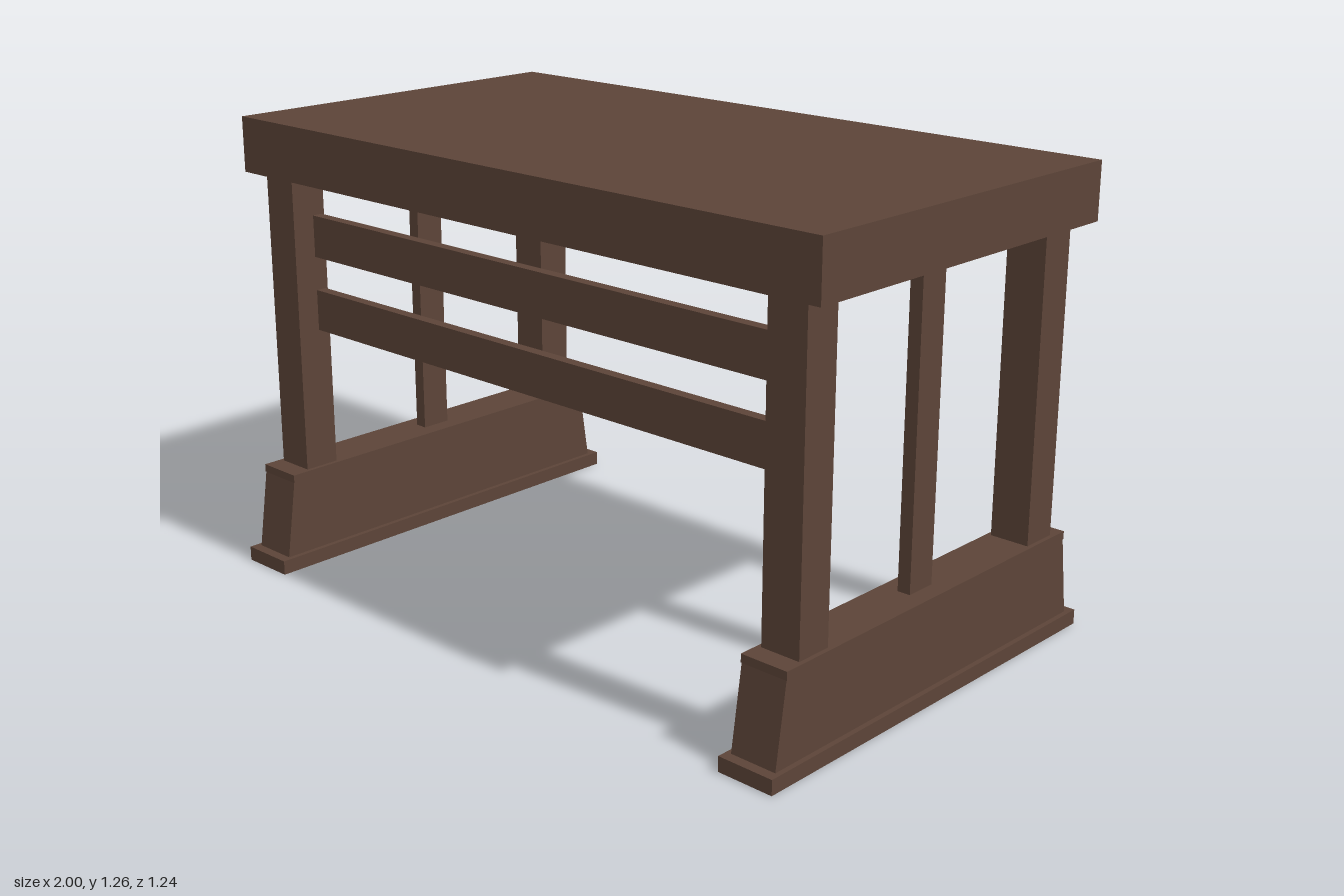
import * as THREE from 'three';

export function createModel() {
  const model = new THREE.Group();
  model.name = 'table';
  const wood = new THREE.MeshStandardMaterial({ color: 0x5c4438 });
  wood.name = 'darkWood';

  // box given by its low and high limits on each axis
  const box = (name, [x0, x1], [y0, y1], [z0, z1], parent) => {
    const mesh = new THREE.Mesh(new THREE.BoxGeometry(x1 - x0, y1 - y0, z1 - z0), wood);
    mesh.position.set((x0 + x1) / 2, (y0 + y1) / 2, (z0 + z1) / 2);
    mesh.name = name;
    parent.add(mesh);
  };

  // thick top
  box('tableTop', [-1, 1], [1.108, 1.26], [-0.54, 0.536], model);

  // foot body: trapezoid in z and y, extruded across x
  const profile = new THREE.Shape([
    new THREE.Vector2(-0.592, 0.04), new THREE.Vector2(0.592, 0.04),
    new THREE.Vector2(0.56, 0.255), new THREE.Vector2(-0.56, 0.255),
  ]);
  const bodyWidth = 0.13;
  const bodyGeometry = new THREE.ExtrudeGeometry(profile, { depth: bodyWidth, bevelEnabled: false });
  bodyGeometry.translate(0, 0, -bodyWidth / 2).rotateY(Math.PI / 2);

  // end frames
  for (const [side, cx] of [['left', 0.887], ['right', -0.89]]) {
    const frame = new THREE.Group();
    frame.name = side + 'EndFrame';
    frame.position.x = cx;
    model.add(frame);

    box('footPlinth', [-0.079, 0.079], [0, 0.04], [-0.62, 0.62], frame);
    const body = new THREE.Mesh(bodyGeometry, wood);
    body.name = 'footBody';
    frame.add(body);
    box('footCap', [-0.067, 0.067], [0.255, 0.277], [-0.56, 0.561], frame);

    box('frontLeg', [-0.055, 0.055], [0.277, 1.108], [0.403, 0.505], frame);
    box('backLeg', [-0.055, 0.055], [0.277, 1.108], [-0.513, -0.408], frame);
    box('middleSlat', [-0.018, 0.018], [0.277, 1.108], [-0.045, 0.043], frame);
  }

  // two rails between the front legs
  box('lowerRail', [-0.836, 0.833], [0.672, 0.786], [0.41, 0.44], model);
  box('upperRail', [-0.836, 0.833], [0.88, 0.996], [0.41, 0.44], model);

  return model;
}
